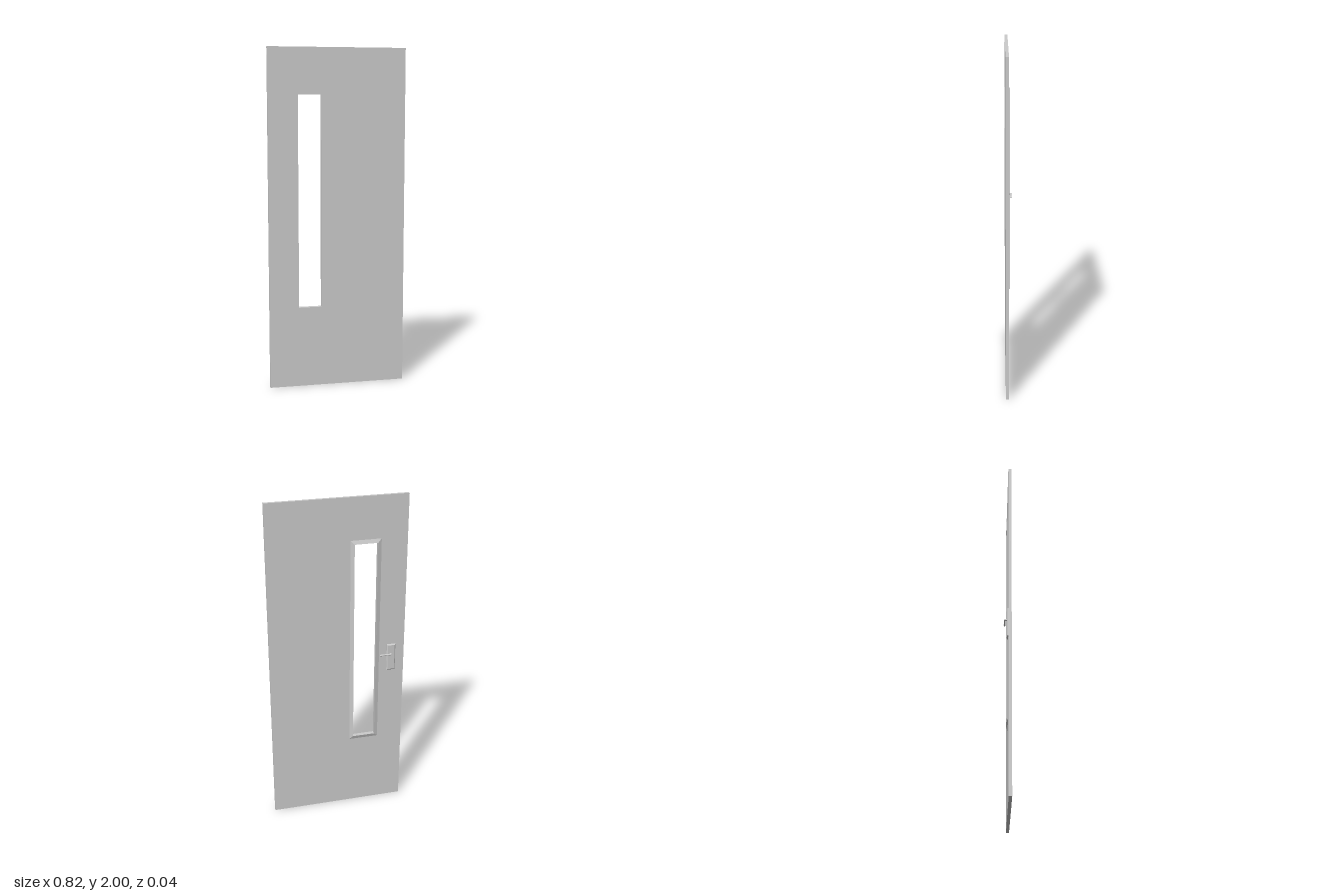
import * as THREE from 'three';

const material = new THREE.MeshStandardMaterial({ color: 0xcccccc });

// Skin through rectangles [x0, x1, y0, y1, z], listed from the outside inwards; faces -z
function rectLoft(rings) {
  const corners = rings.map(([x0, x1, y0, y1, z]) => [[x0, y0, z], [x1, y0, z], [x1, y1, z], [x0, y1, z]]);
  const points = [];
  for (let i = 0; i < rings.length - 1; i++) {
    for (let j = 0; j < 4; j++) {
      const k = (j + 1) % 4;
      const a = corners[i][j], b = corners[i][k], c = corners[i + 1][k], d = corners[i + 1][j];
      points.push(...a, ...c, ...b, ...a, ...d, ...c);
    }
  }
  const geometry = new THREE.BufferGeometry();
  geometry.setAttribute('position', new THREE.Float32BufferAttribute(points, 3));
  geometry.computeVertexNormals();
  return geometry;
}

export function createModel() {
  const door = new THREE.Group();
  door.name = 'door';
  const add = (parent, name, geometry) => {
    const mesh = new THREE.Mesh(geometry, material);
    mesh.name = name;
    parent.add(mesh);
    return mesh;
  };

  const W = 0.408, faceZ = 0.003, frontZ = 0.021, trimZ = -0.005;
  const win = { x0: -0.232, x1: -0.096, y0: 0.48, y1: 1.73 };

  // Door leaf with the tall window opening
  const outline = new THREE.Shape([[-W, 0], [W, 0], [W, 2], [-W, 2]].map(p => new THREE.Vector2(...p)));
  outline.holes.push(new THREE.Path([
    [win.x0, win.y0], [win.x0, win.y1], [win.x1, win.y1], [win.x1, win.y0],
  ].map(p => new THREE.Vector2(...p))));
  const leaf = new THREE.ExtrudeGeometry(outline, { depth: frontZ - faceZ, bevelEnabled: false });
  add(door, 'doorLeaf', leaf.translate(0, 0, faceZ));

  // Sloping window surround on the back
  const t = 0.022;
  add(door, 'windowTrim', rectLoft([
    [win.x0 - t, win.x1 + t, win.y0 - t, win.y1 + t, faceZ],
    [win.x0, win.x1, win.y0, win.y1, trimZ],
    [win.x0, win.x1, win.y0, win.y1, faceZ],
  ]));

  // Handle: bevelled plate, spindle and lever
  const handle = new THREE.Group();
  handle.name = 'handle';
  door.add(handle);
  const px = -0.3275, py = 1.003;
  const plateRing = (w, h, z) => [px - w, px + w, py - h, py + h, z];
  add(handle, 'handlePlate', rectLoft([
    plateRing(0.0265, 0.085, faceZ),
    plateRing(0.0265, 0.085, -0.001),
    plateRing(0.021, 0.079, trimZ),
    plateRing(0, 0, trimZ),
  ]));

  const r = 0.005, hx = -0.325, hy = 1.027, leverZ = -0.016;
  const spindle = add(handle, 'spindle', new THREE.CylinderGeometry(r, r, trimZ - leverZ, 16));
  spindle.rotation.x = Math.PI / 2;
  spindle.position.set(hx, hy, (trimZ + leverZ) / 2);

  const lever = add(handle, 'lever', new THREE.CapsuleGeometry(r, 0.067, 5, 16));
  lever.rotation.z = Math.PI / 2;
  lever.position.set(hx + 0.0335, hy, leverZ);

  return door;
}
